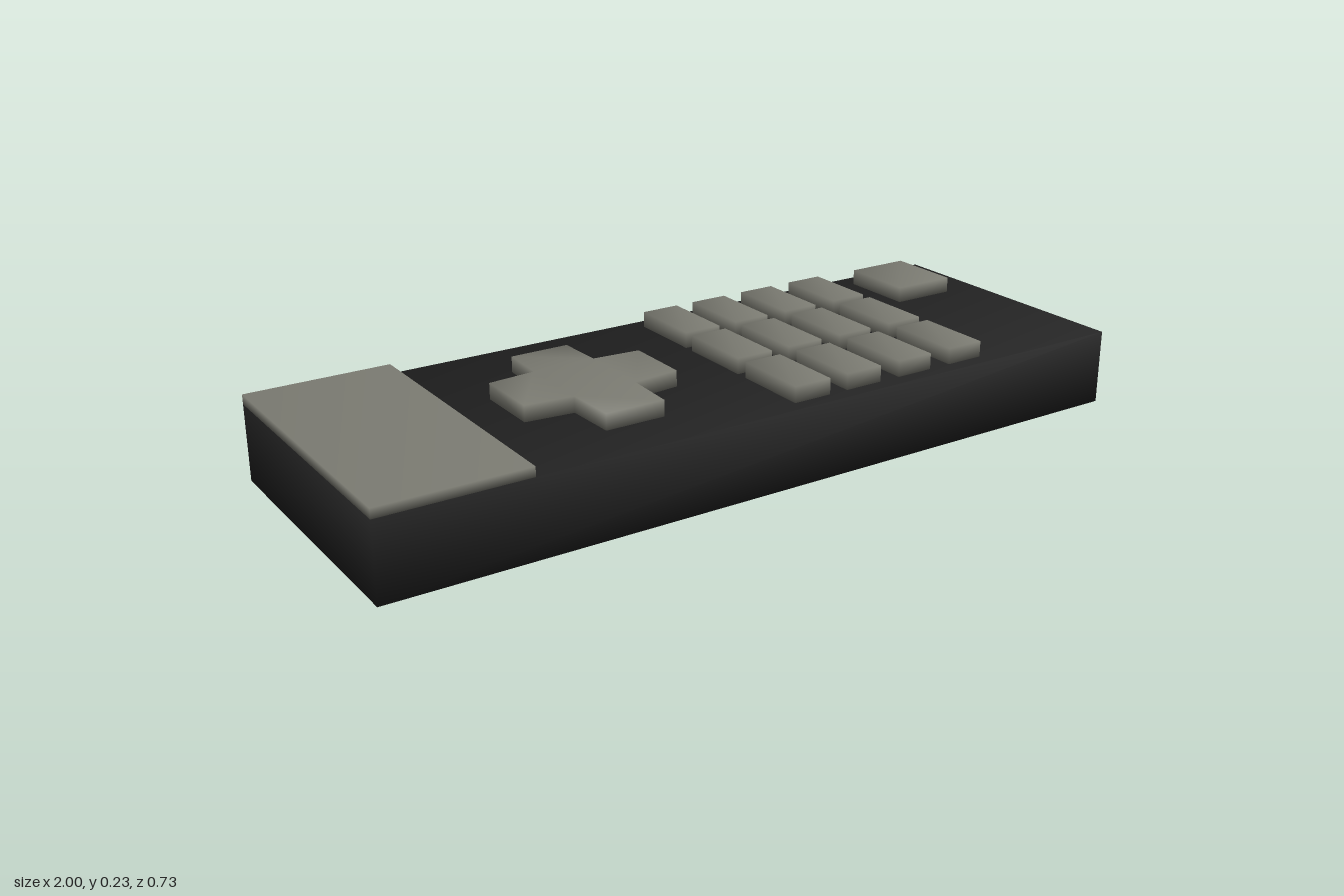
import * as THREE from 'three';
import { mergeVertices } from 'three/addons/utils/BufferGeometryUtils.js';

// Share corner vertices so the shading runs smoothly round the edges
function soften(geometry) {
  geometry.deleteAttribute('uv');
  geometry.deleteAttribute('normal');
  const merged = mergeVertices(geometry, 1e-4);
  merged.computeVertexNormals();
  return merged;
}

export function createModel() {
  const group = new THREE.Group();
  const casing = new THREE.MeshStandardMaterial({ name: 'black casing', color: 0x202020 });
  const keys = new THREE.MeshStandardMaterial({ name: 'grey keys', color: 0x7b7b72 });

  function add(name, geometry, material) {
    const mesh = new THREE.Mesh(soften(geometry), material);
    mesh.name = name;
    group.add(mesh);
  }
  function block(name, material, [x0, x1], [y0, y1], [z0, z1]) {
    const box = new THREE.BoxGeometry(x1 - x0, y1 - y0, z1 - z0);
    box.translate((x0 + x1) / 2, (y0 + y1) / 2, (z0 + z1) / 2);
    add(name, box, material);
  }

  const deck = 0.19;
  const top = 0.23;

  // Casing and the raised end panel
  block('body', casing, [-1, 1], [0, deck], [-0.363, 0.363]);
  block('endPanel', keys, [-1, -0.64], [deck, 0.214], [-0.363, 0.363]);

  // Keypad: three rows of four
  const rows = [[-0.322, -0.125], [-0.098, 0.1], [0.131, 0.327]];
  const columns = [[0.046, 0.146], [0.196, 0.296], [0.352, 0.45], [0.51, 0.61]];
  rows.forEach((z, r) => columns.forEach((x, c) =>
    block(`key${r + 1}${c + 1}`, keys, x, [deck, top], z)));

  // Single key at the far end
  block('powerKey', keys, [0.73, 0.9], [deck, top], [-0.313, -0.115]);

  // Cross pad with slightly narrowing arms
  const outline = [
    [-0.40, -0.09], [-0.395, -0.21], [-0.245, -0.21], [-0.24, -0.09],
    [-0.12, -0.08], [-0.12, 0.088], [-0.24, 0.1], [-0.245, 0.23],
    [-0.395, 0.23], [-0.40, 0.1], [-0.52, 0.088], [-0.52, -0.08],
  ].map(([x, z]) => new THREE.Vector2(x, -z));
  const cross = new THREE.ExtrudeGeometry(new THREE.Shape(outline),
    { depth: top - deck, bevelEnabled: false });
  cross.rotateX(-Math.PI / 2);
  cross.translate(0, deck, 0);
  add('crossPad', cross, keys);

  return group;
}
